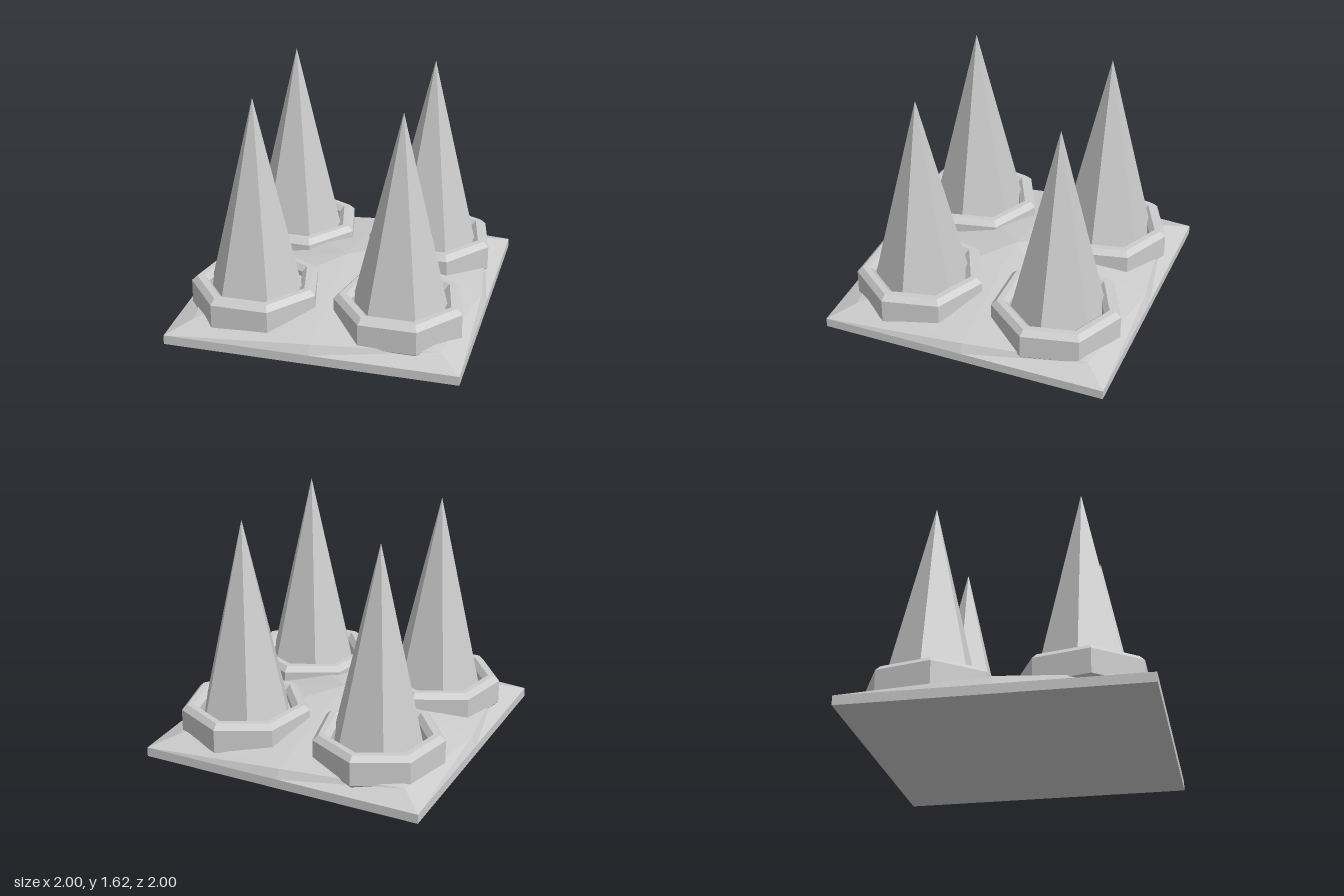
import * as THREE from 'three';

const material = new THREE.MeshStandardMaterial({ color: 0xcccccc, flatShading: true });

function addMesh(parent, name, geometry) {
  const mesh = new THREE.Mesh(geometry, material);
  mesh.name = name;
  parent.add(mesh);
  return mesh;
}

// Eight points around a square: edge middles and corners, counter-clockwise from +z
function squareRing(middle, corner, y) {
  return Array.from({ length: 8 }, (_, i) => {
    const a = (i * Math.PI) / 4;
    const r = i % 2 ? corner * Math.SQRT2 : middle;
    return [Math.sin(a) * r, y, Math.cos(a) * r];
  });
}

// Square slab with a sloping rim and a low peak in the middle
function plateGeometry() {
  const rings = [squareRing(1, 1, 0), squareRing(1, 1, 0.065), squareRing(0.968, 0.843, 0.13)];
  const bottom = [0, 0, 0];
  const peak = [0, 0.31, 0];
  const corners = [];
  for (let i = 0; i < 8; i++) {
    const j = (i + 1) % 8;
    for (let k = 0; k < 2; k++) {
      const lower = rings[k], upper = rings[k + 1];
      corners.push(lower[i], lower[j], upper[j], lower[i], upper[j], upper[i]);
    }
    corners.push(rings[2][i], rings[2][j], peak);
    corners.push(rings[0][j], rings[0][i], bottom);
  }
  const geometry = new THREE.BufferGeometry();
  geometry.setAttribute('position', new THREE.Float32BufferAttribute(corners.flat(), 3));
  geometry.computeVertexNormals();
  return geometry;
}

// Seven-sided collar with chamfered edges, one corner pointing to the back
function collarGeometry() {
  const profile = [
    [0.366, 0.08], [0.41, 0.08], [0.448, 0.118], [0.448, 0.284],
    [0.41, 0.32], [0.366, 0.32], [0.328, 0.284], [0.328, 0.118], [0.366, 0.08],
  ].map(([r, y]) => new THREE.Vector2(r, y));
  return new THREE.LatheGeometry(profile, 7, Math.PI);
}

// Six-sided spike with corners on the x axis
function spikeGeometry() {
  const base = 0.1, tip = 1.62;
  const geometry = new THREE.ConeGeometry((tip - base) * 0.2385, tip - base, 6, 1, false, Math.PI / 6);
  geometry.translate(0, (tip + base) / 2, 0);
  return geometry;
}

export function createModel() {
  const model = new THREE.Group();
  model.name = 'spikeTrap';
  addMesh(model, 'basePlate', plateGeometry());

  // Four spikes, each in its collar
  const collar = collarGeometry();
  const spike = spikeGeometry();
  for (const z of [0.5, -0.5]) {
    for (const x of [0.5, -0.5]) {
      const unit = new THREE.Group();
      unit.name = (z > 0 ? 'front' : 'back') + (x > 0 ? 'Left' : 'Right') + 'Spike';
      unit.position.set(x, 0, z);
      addMesh(unit, 'collar', collar);
      addMesh(unit, 'spike', spike);
      model.add(unit);
    }
  }
  return model;
}
